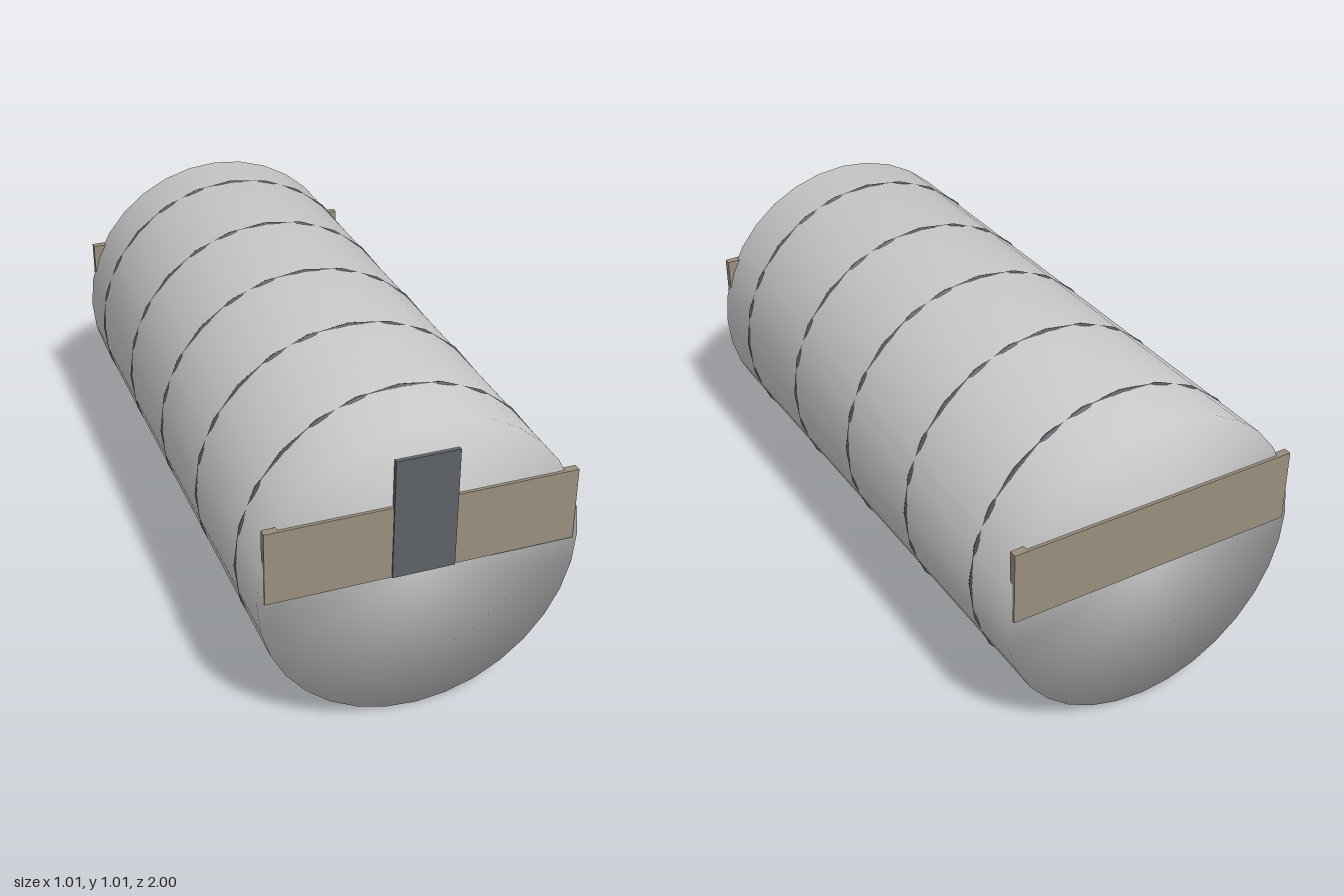
import * as THREE from 'three';
import { mergeVertices } from 'three/addons/utils/BufferGeometryUtils.js';

const CENTER_Y = 0.504;

export function createModel() {
  const model = new THREE.Group();
  const material = (color) => new THREE.MeshStandardMaterial({ color });
  const bodyMat = material(0xcccccc);
  const ringMat = material(0x565b61);
  const plateMat = material(0x998e7e);
  const latchMat = material(0x5d6167);

  function add(name, geometry, mat, x, y, z) {
    const mesh = new THREE.Mesh(geometry, mat);
    mesh.name = name;
    mesh.position.set(x, y, z);
    model.add(mesh);
    return mesh;
  }

  // Drum lying along z, with shading flowing smoothly over the end rims
  let drum = new THREE.CylinderGeometry(0.5, 0.5, 1.97, 32).rotateX(Math.PI / 2);
  drum.deleteAttribute('normal');
  drum.deleteAttribute('uv');
  drum = mergeVertices(drum, 1e-4);
  drum.computeVertexNormals();
  add('drum', drum, bodyMat, 0, CENTER_Y, 0);

  // Thin hoops that just break through the drum surface
  const hoop = new THREE.TorusGeometry(0.494, 0.01, 8, 24);
  for (let i = -2; i <= 2; i++) {
    add('hoop', hoop, ringMat, 0, CENTER_Y, i * 0.394);
  }

  // Wide plate across each end
  const plate = new THREE.BoxGeometry(0.96, 0.238, 0.025);
  add('frontPlate', plate, plateMat, 0, CENTER_Y + 0.119, 0.9825);
  add('backPlate', plate, plateMat, 0, CENTER_Y + 0.119, -0.9825);

  // Upright latch over the front plate
  add('latch', new THREE.BoxGeometry(0.195, 0.392, 0.025), latchMat, 0, CENTER_Y + 0.196, 0.9875);

  return model;
}
